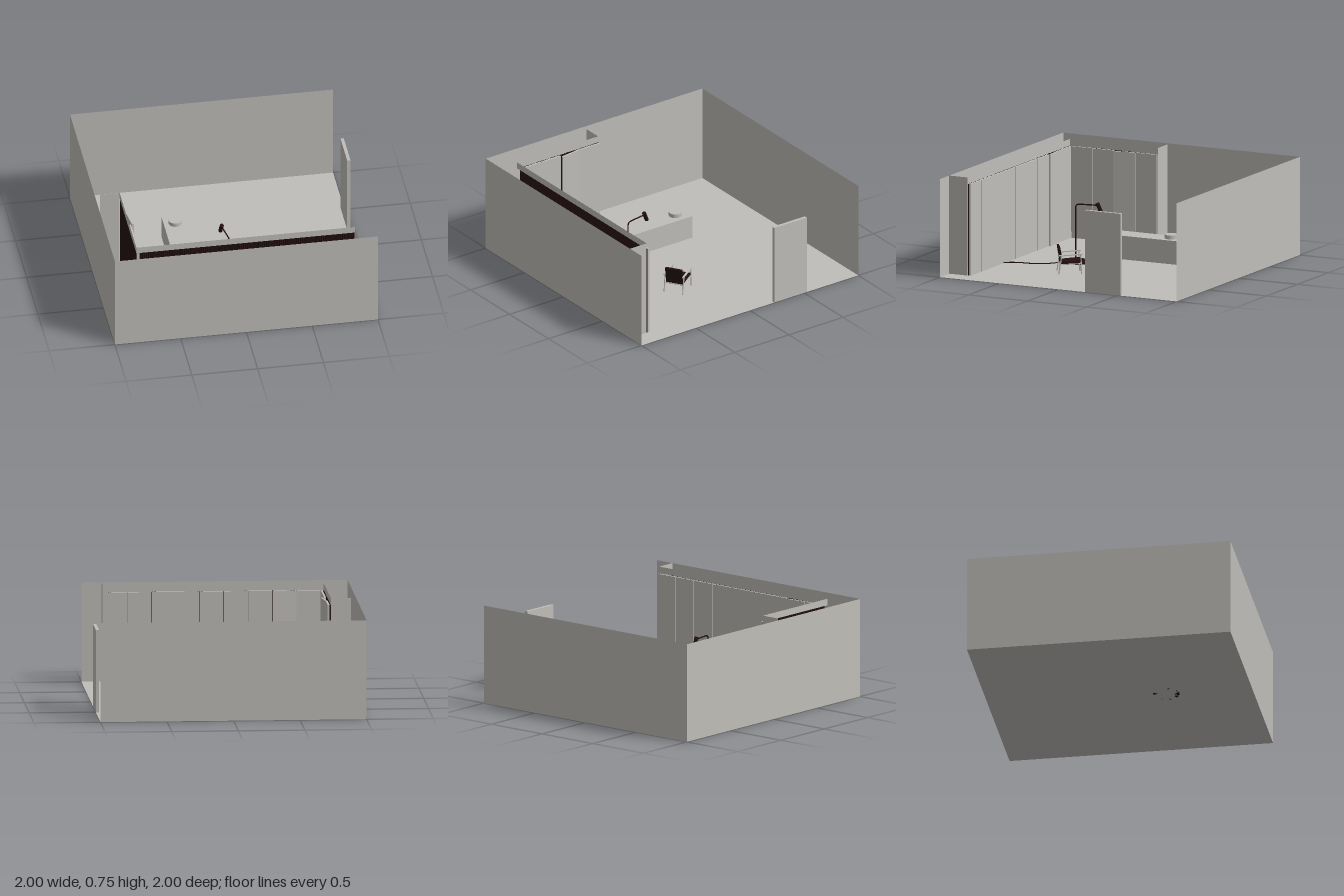
import * as THREE from 'three';

const plaster = new THREE.MeshStandardMaterial({ color: 0xc0beb9, side: THREE.DoubleSide });
plaster.name = 'warm grey';
const dark = new THREE.MeshStandardMaterial({ color: 0x241012, side: THREE.DoubleSide });
dark.name = 'dark brown';

function add(parent, name, geometry, material, x = 0, y = 0, z = 0) {
  const mesh = new THREE.Mesh(geometry, material);
  mesh.name = name;
  mesh.position.set(x, y, z);
  parent.add(mesh);
  return mesh;
}

function group(parent, name, x = 0, y = 0, z = 0, turn = 0) {
  const g = new THREE.Group();
  g.name = name;
  g.position.set(x, y, z);
  g.rotation.y = turn;
  parent.add(g);
  return g;
}

const box = (w, h, d) => new THREE.BoxGeometry(w, h, d);

// Upright sheet between two floor points
function sheet(parent, name, x1, z1, x2, z2, y1, y2) {
  const length = Math.hypot(x2 - x1, z2 - z1);
  const mesh = add(parent, name, new THREE.PlaneGeometry(length, y2 - y1), plaster,
    (x1 + x2) / 2, (y1 + y2) / 2, (z1 + z2) / 2);
  mesh.rotation.y = -Math.atan2(z2 - z1, x2 - x1);
  return mesh;
}

// Round bar between two points
function bar(parent, name, a, b, radius, material, sides = 12) {
  const from = new THREE.Vector3(...a), to = new THREE.Vector3(...b);
  const dir = to.clone().sub(from);
  const mesh = add(parent, name, new THREE.CylinderGeometry(radius, radius, dir.length(), sides), material);
  mesh.position.copy(from).add(to).multiplyScalar(0.5);
  mesh.quaternion.setFromUnitVectors(new THREE.Vector3(0, 1, 0), dir.normalize());
  return mesh;
}

function tube(parent, name, points, radius, material, segments = 40) {
  const curve = new THREE.CatmullRomCurve3(points.map(p => new THREE.Vector3(...p)));
  return add(parent, name, new THREE.TubeGeometry(curve, segments, radius, 8), material);
}

// Fine pleated backing, running along local +x
function pleats(length, height) {
  const count = Math.round(length / 0.008);
  const geo = new THREE.PlaneGeometry(length, height, count, 1);
  const pos = geo.attributes.position;
  for (let i = 0; i < pos.count; i++) pos.setZ(i, (i % (count + 1)) % 2 ? 0.003 : -0.003);
  const flat = geo.toNonIndexed();
  flat.computeVertexNormals();
  return flat.translate(length / 2, height / 2, 0);
}

// Row of panels along local +x with its room side on local -z; one stands ajar
function panelRow(parent, name, count, width, ajar, angle, start, turn, side) {
  const row = group(parent, name, start[0], 0, start[1], turn);
  for (let i = 0; i < count; i++) {
    const hinge = group(row, 'panelHinge', i * width, 0, 0, i === ajar ? angle : 0);
    add(hinge, 'panel', box(width - 0.003, 0.7, 0.015), plaster, width / 2, 0.351, 0);
  }
  add(row, 'pleatedBacking', pleats(count * width, 0.7), dark, 0, 0, 0.014 * side);
}

function buildRoom(root) {
  const room = group(root, 'room');
  const floor = add(room, 'floor', new THREE.PlaneGeometry(2, 2), plaster);
  floor.rotation.x = -Math.PI / 2;
  sheet(room, 'frontWall', -1, 1, 1, 1, 0, 0.75);
  sheet(room, 'backWall', -1, -1, 1, -1, 0, 0.75);
  sheet(room, 'leftWall', -1, -1, -1, 1, 0, 0.75);
  add(room, 'door', box(0.025, 0.625, 0.3), plaster, 0.9875, 0.3125, -0.375);

  // Closet returns and headers
  sheet(room, 'frontClosetReturn', 0.85, 0.846, 0.85, 1, 0, 0.75);
  sheet(room, 'sideClosetReturn', -0.96, 0.1, -0.81, 0.1, 0, 0.75);
  sheet(room, 'frontHeader', -0.81, 0.846, 0.85, 0.846, 0.7, 0.75);
  sheet(room, 'sideHeader', -0.81, 0.1, -0.81, 0.846, 0.7, 0.75);
  panelRow(room, 'frontPanels', 9, 0.1817, 1, 0.08, [-0.785, 0.828], 0, 1);
  panelRow(room, 'sidePanels', 4, 0.18, 1, 0.13, [-0.793, 0.1], -Math.PI / 2, 1);
}

function buildBench(root) {
  const bench = group(root, 'bench');
  add(bench, 'benchBody', box(0.175, 0.18, 0.64), plaster, -0.325, 0.09, -0.04);
  add(bench, 'roundBowl', new THREE.CylinderGeometry(0.05, 0.05, 0.03, 40), plaster, -0.325, 0.195, -0.265);
}

function buildChair(root) {
  // Local +z is the front of the chair
  const chair = group(root, 'armchair', 0.385, 0, 0.222, Math.PI + 0.57);
  const seat = add(chair, 'seat', box(0.134, 0.018, 0.16), dark, 0, 0.089, 0.002);
  seat.rotation.x = -0.08;
  const back = add(chair, 'backrest', box(0.134, 0.125, 0.016), dark, 0, 0.142, -0.076);
  back.rotation.x = -0.17;
  for (const s of [-1, 1]) {
    const x = 0.075 * s;
    bar(chair, 'frontLeg', [x, 0, 0.08], [x, 0.148, 0.075], 0.005, plaster);
    bar(chair, 'backLeg', [x, 0, -0.09], [x, 0.14, -0.07], 0.005, plaster);
    bar(chair, 'seatRail', [x, 0.075, -0.08], [x, 0.08, 0.078], 0.004, plaster);
    const arm = add(chair, 'armrest', box(0.014, 0.008, 0.18), plaster, x, 0.147, 0);
    arm.rotation.x = -0.06;
  }
  for (const z of [-0.078, 0.076]) bar(chair, 'crossRail', [-0.075, 0.075, z], [0.075, 0.075, z], 0.004, plaster);
}

function buildLamp(root) {
  const lamp = group(root, 'floorLamp');
  add(lamp, 'lampBase', new THREE.CylinderGeometry(0.1, 0.1, 0.012, 48), dark, 0.015, 0.006, 0.35);
  bar(lamp, 'lampPole', [-0.025, 0.01, 0.388], [-0.025, 0.415, 0.388], 0.005, dark);
  tube(lamp, 'lampElbow', [[-0.025, 0.412, 0.388], [-0.026, 0.427, 0.381], [-0.028, 0.435, 0.365]], 0.005, dark, 12);
  bar(lamp, 'lampArm', [-0.028, 0.435, 0.367], [-0.055, 0.435, 0.21], 0.005, dark);
  bar(lamp, 'lampHead', [-0.054, 0.452, 0.22], [-0.06, 0.383, 0.19], 0.015, dark, 24);
  tube(lamp, 'powerCable', [
    [0.05, 0.006, 0.43], [0.14, 0.006, 0.475], [0.21, 0.006, 0.54], [0.243, 0.006, 0.63],
    [0.255, 0.006, 0.73], [0.29, 0.006, 0.8], [0.36, 0.006, 0.85], [0.47, 0.006, 0.877], [0.645, 0.006, 0.887],
  ], 0.004, dark, 80);
}

export function createModel() {
  const root = new THREE.Group();
  root.name = 'openRoom';
  buildRoom(root);
  buildBench(root);
  buildChair(root);
  buildLamp(root);
  return root;
}
